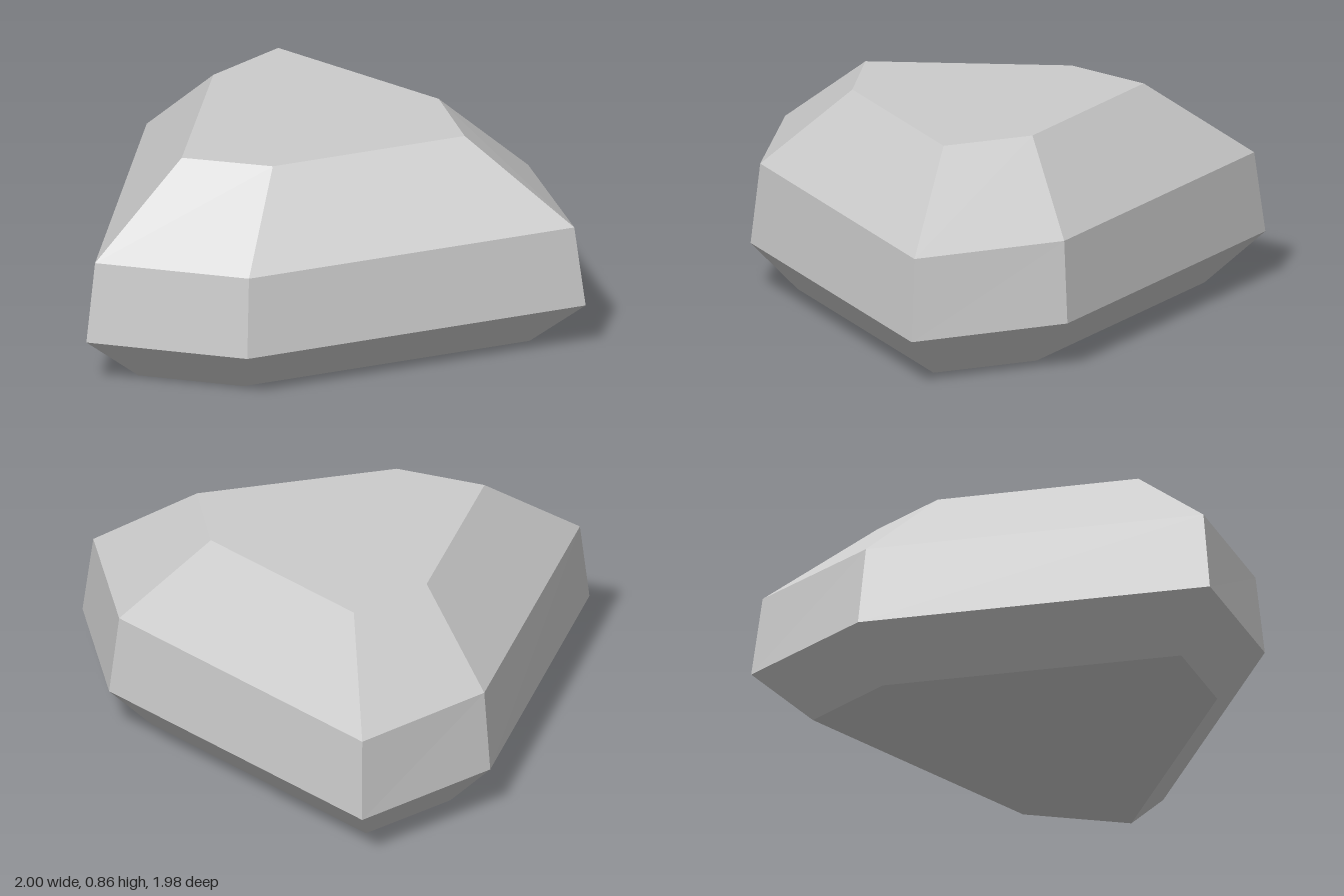
import * as THREE from 'three';

// Outline corners [x, z] of each level, clockwise from the back tip as seen from above
const LEVELS = [
  { y: 0.0, ring: [[0.04, -0.75], [0.79, 0.2], [0.81, 0.635], [-0.39, 0.8], [-0.77, 0.6], [-0.32, -0.525]] },
  { y: 0.2, ring: [[0.08, -0.99], [0.965, 0.13], [1.0, 0.79], [-0.42, 0.985], [-1.0, 0.68], [-0.465, -0.645]] },
  { y: 0.53, ring: [[0.075, -0.945], [0.925, 0.13], [0.96, 0.765], [-0.405, 0.95], [-0.96, 0.66], [-0.445, -0.61]] },
  { y: 0.857, ring: [[0.06, -0.49], [0.56, 0.14], [0.575, 0.515], [-0.23, 0.625], [-0.56, 0.46], [-0.25, -0.295]] },
];

// Joins the levels with flat facets and closes both ends
function facetedStone(levels) {
  const rings = levels.map(({ y, ring }) => ring.map(([x, z]) => [x, y, z]));
  const n = rings[0].length;
  const positions = [];
  const tri = (a, b, c) => positions.push(...a, ...b, ...c);

  // Side facets
  for (let k = 0; k < rings.length - 1; k++) {
    for (let i = 0; i < n; i++) {
      const j = (i + 1) % n;
      const lower = rings[k], upper = rings[k + 1];
      tri(lower[j], lower[i], upper[i]);
      tri(lower[j], upper[i], upper[j]);
    }
  }

  // Flat base and flat top
  const base = rings[0], top = rings[rings.length - 1];
  for (let i = 1; i < n - 1; i++) {
    tri(base[0], base[i], base[i + 1]);
    tri(top[0], top[i + 1], top[i]);
  }

  const geometry = new THREE.BufferGeometry();
  geometry.setAttribute('position', new THREE.Float32BufferAttribute(positions, 3));
  geometry.computeVertexNormals();
  return geometry;
}

export function createModel() {
  const model = new THREE.Group();
  model.name = 'rock';
  const material = new THREE.MeshStandardMaterial({ color: 0xcccccc, flatShading: true });
  const stone = new THREE.Mesh(facetedStone(LEVELS), material);
  stone.name = 'stone';
  model.add(stone);
  return model;
}
